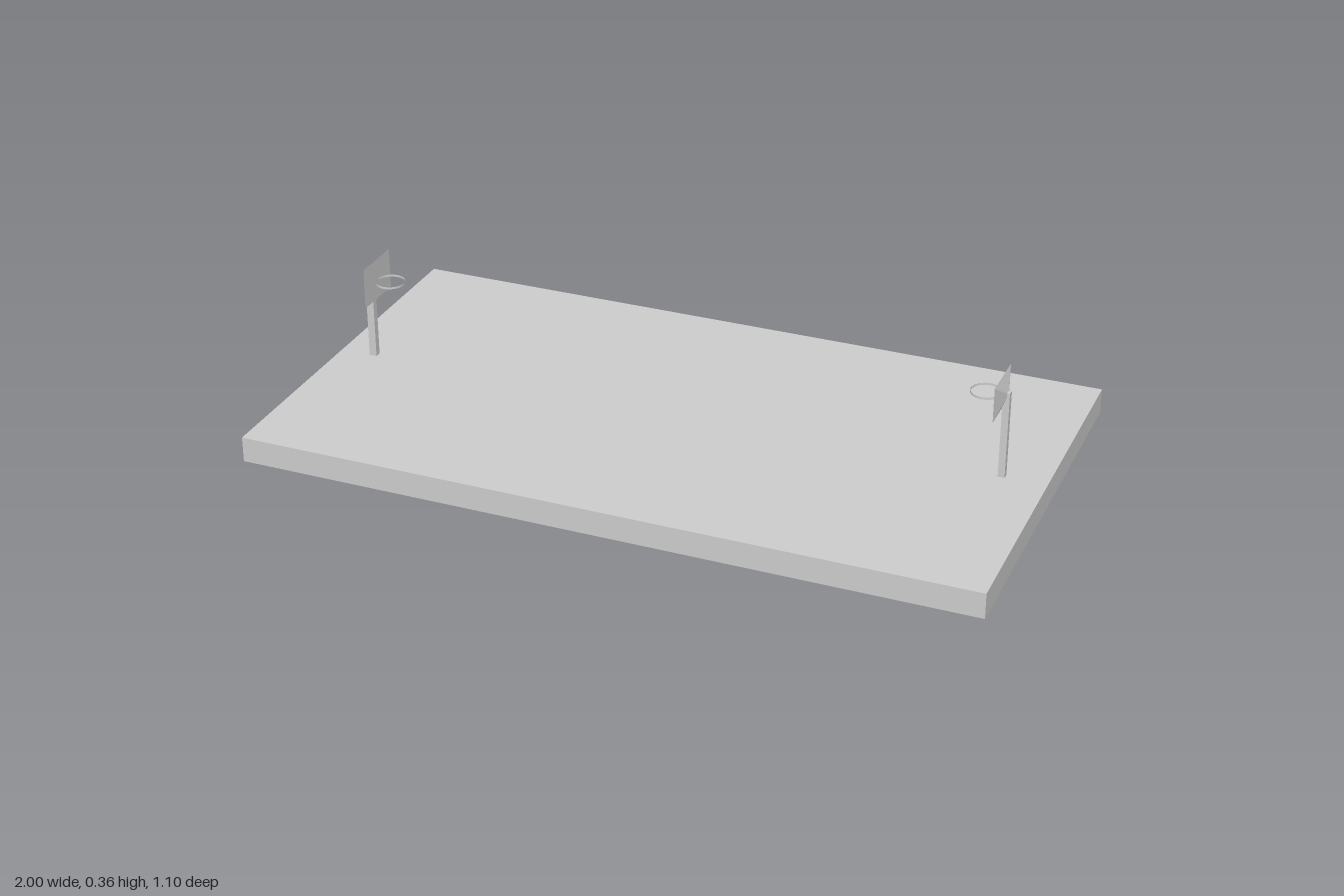
import * as THREE from 'three';

const grey = new THREE.MeshStandardMaterial({ color: 0xcccccc, flatShading: true });
const thin = new THREE.MeshStandardMaterial({ color: 0xcccccc, side: THREE.DoubleSide });

function part(parent, name, geometry, x, y, material = grey) {
  const mesh = new THREE.Mesh(geometry, material);
  mesh.name = name;
  mesh.position.set(x, y, 0);
  parent.add(mesh);
}

// One basket; side is +1 for the left end of the court, -1 for the right end
function hoop(name, side, poleX, poleWidth, boardX, boardHeight) {
  const group = new THREE.Group();
  group.name = name;

  part(group, 'pole', new THREE.BoxGeometry(poleWidth, 0.24, 0.018), side * poleX, 0.19);

  // Backboard: flat towards the court, a shallow pyramid towards the pole
  const depth = 0.018;
  const board = new THREE.ConeGeometry(Math.SQRT1_2, 1, 4, 1, false, Math.PI / 4);
  board.rotateZ(-side * Math.PI / 2);
  board.scale(depth, boardHeight, 0.147);
  part(group, 'backboard', board, side * (boardX + depth / 2), 0.304);

  // Rim: a thin open band touching the backboard
  const radius = 0.04;
  const rim = new THREE.CylinderGeometry(radius, radius, 0.006, 32, 1, true);
  part(group, 'rim', rim, side * (boardX - radius), 0.301, thin);
  return group;
}

export function createModel() {
  const model = new THREE.Group();
  model.name = 'basketballCourt';
  part(model, 'courtSlab', new THREE.BoxGeometry(2, 0.07, 1.1), 0, 0.035);
  model.add(hoop('leftHoop', 1, 0.88, 0.018, 0.866, 0.095));
  model.add(hoop('rightHoop', -1, 0.904, 0.021, 0.882, 0.113));
  return model;
}
